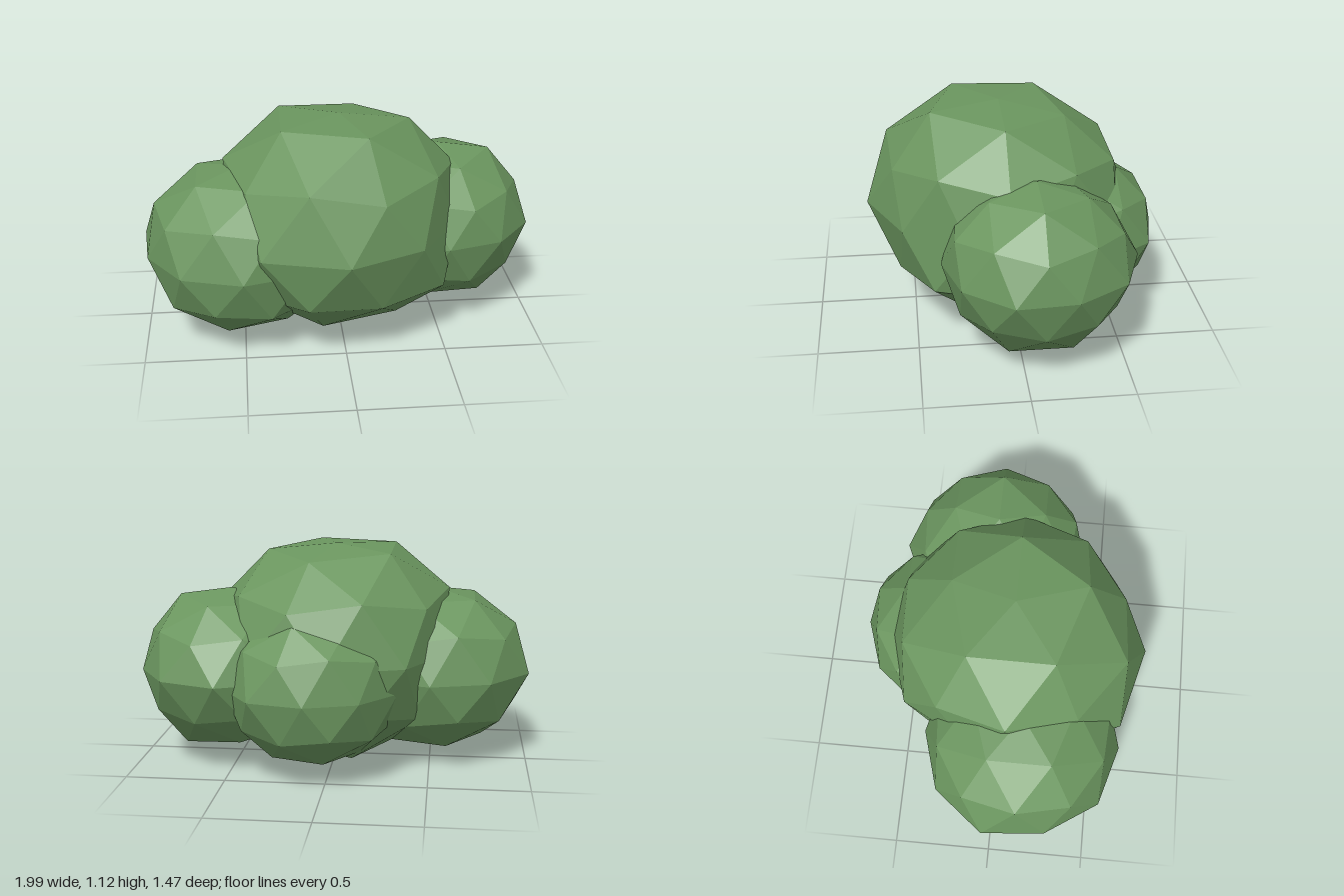
import * as THREE from 'three';
import { ConvexGeometry } from 'three/addons/geometries/ConvexGeometry.js';

// Rings of a once-subdivided icosahedron standing on its pole: [height, count, first azimuth]
const RINGS = [
  [1, 1, 0], [0.8507, 5, 0], [0.5257, 5, 36], [0.4472, 5, 0], [0, 10, 18],
  [-0.4472, 5, 36], [-0.5257, 5, 0], [-0.8507, 5, 36], [-1, 1, 0],
];

// Lumpy, slightly flattened ball; bumps[ring] lists radial factors around that ring
function leafBall(name, material, [x, y, z], radius, height, bumps) {
  const points = [], factors = [];
  RINGS.forEach(([h, count, start], ring) => {
    const r = Math.sqrt(1 - h * h);
    for (let i = 0; i < count; i++) {
      const a = THREE.MathUtils.degToRad(start + (i * 360) / count);
      points.push(new THREE.Vector3(r * Math.cos(a), h, r * Math.sin(a)));
      factors.push(bumps[ring]?.[i] ?? 1);
    }
  });
  const geometry = new ConvexGeometry(points);
  const pos = geometry.attributes.position;
  const v = new THREE.Vector3();
  for (let i = 0; i < pos.count; i++) {
    v.fromBufferAttribute(pos, i);
    const f = factors[points.findIndex((p) => p.distanceTo(v) < 0.01)];
    pos.setXYZ(i, v.x * f * radius, v.y * f * height, v.z * f * radius);
  }
  // non-indexed triangles give one flat normal per facet
  geometry.computeVertexNormals();
  const mesh = new THREE.Mesh(geometry, material);
  mesh.name = name;
  mesh.position.set(x, y, z);
  return mesh;
}

export function createModel() {
  const group = new THREE.Group();
  group.name = 'bush';
  const leafGreen = new THREE.MeshStandardMaterial({ color: 0x6b965f });
  leafGreen.name = 'leafGreen';

  group.add(
    // large middle clump
    leafBall('centreFoliage', leafGreen, [0, 0.585, 0.05], 0.66, 0.575, {
      0: [0.93],
      1: [1.02, 1.06, 1.06, 1.04, 0.97],
      2: [1, 1.06, 1.04, 1.02, 1],
      3: [1, 0.97],
      4: [0.93, 0.95, 1.03, 1.07, 0.92, 0.92, 1, 1, 1.02, 0.95],
      5: [1.04, 1.04],
      6: [1, 0.98],
      7: [1, 1, 1, 1.05, 1],
      8: [1.015],
    }),
    // clump on the model's right
    leafBall('rightFoliage', leafGreen, [-0.5, 0.47, 0.13], 0.51, 0.44, {
      0: [0.95],
      4: [1, 1, 0.98, 1, 0.97, 1.03, 1, 0.98],
      5: [1, 1, 0.95],
    }),
    // clump on the model's left
    leafBall('leftFoliage', leafGreen, [0.53, 0.49, -0.08], 0.47, 0.41, {
      1: [1.07],
      4: [1.03, 1, 0.98, 1, 1, 1, 1, 1.06, 1.04, 0.99],
      7: [1.08, 1, 1, 1, 1.08],
    }),
    // small clump behind
    leafBall('backFoliage', leafGreen, [0.08, 0.45, -0.3], 0.45, 0.4, {
      4: [1, 1, 1, 1, 1, 1, 0.97, 0.97, 1.03, 1],
    }),
  );
  return group;
}
